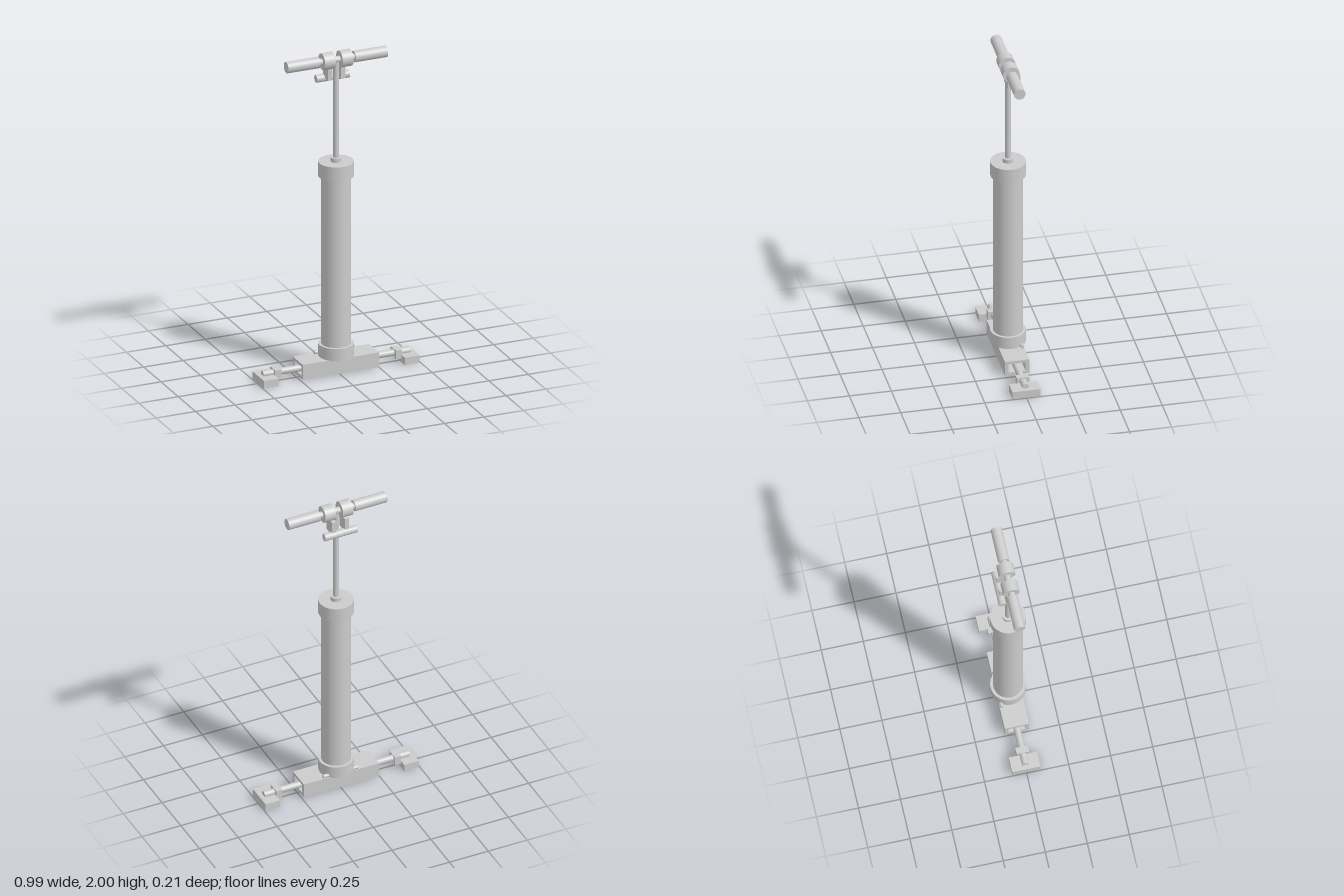
import * as THREE from 'three';

const material = new THREE.MeshStandardMaterial({ color: 0xcccccc });

function add(parent, name, geometry, x, y, z) {
  const mesh = new THREE.Mesh(geometry, material);
  mesh.name = name;
  mesh.position.set(x, y, z);
  parent.add(mesh);
  return mesh;
}

// Upright cylinder between two heights
function upright(parent, name, r, y0, y1) {
  return add(parent, name, new THREE.CylinderGeometry(r, r, y1 - y0, 48), 0, (y0 + y1) / 2, 0);
}

// Cylinder lying along x between x0 and x1
function lying(parent, name, r, x0, x1, y, z = 0) {
  const geometry = new THREE.CylinderGeometry(r, r, x1 - x0, 32).rotateZ(Math.PI / 2);
  return add(parent, name, geometry, (x0 + x1) / 2, y, z);
}

function box(parent, name, x0, x1, y0, y1, z0, z1) {
  const geometry = new THREE.BoxGeometry(x1 - x0, y1 - y0, z1 - z0);
  return add(parent, name, geometry, (x0 + x1) / 2, (y0 + y1) / 2, (z0 + z1) / 2);
}

function outline(points, Type = THREE.Shape) {
  return new Type(points.map(([a, b]) => new THREE.Vector2(a, b)));
}

// Section in (z, y) swept along x
function sweep(parent, name, shape, x0, x1) {
  const geometry = new THREE.ExtrudeGeometry(shape, { depth: x1 - x0, bevelEnabled: false });
  geometry.rotateY(Math.PI / 2);
  return add(parent, name, geometry, x0, 0, 0);
}

export function createModel() {
  const pump = new THREE.Group();
  pump.name = 'floorPump';

  // Barrel with its caps, and the piston rod
  upright(pump, 'barrel', 0.087, 0.12, 1.3);
  upright(pump, 'lowerCap', 0.104, 0.1, 0.177);
  upright(pump, 'upperCap', 0.104, 1.225, 1.315);
  upright(pump, 'rodBushing', 0.033, 1.31, 1.34);
  upright(pump, 'pistonRod', 0.017, 1.3, 1.95);

  // Hollow base housing
  const housing = outline([[-0.0725, 0.01], [0.0725, 0.01], [0.0725, 0.102], [-0.0725, 0.102]]);
  housing.holes.push(outline([[-0.05, 0.028], [-0.05, 0.084], [0.05, 0.084], [0.05, 0.028]], THREE.Path));
  sweep(pump, 'baseHousing', housing, -0.242, 0.242);

  // Hinge pin behind the lower cap
  lying(pump, 'basePin', 0.011, -0.112, 0.112, 0.111, -0.06);

  // Bar sliding through the base, carrying the feet
  lying(pump, 'footBar', 0.02, -0.467, 0.467, 0.055);

  // Handle axle and the small carrying bar hung behind it
  lying(pump, 'handleAxle', 0.02, -0.12, 0.12, 1.95);
  lying(pump, 'carryBar', 0.023, -0.104, 0.104, 1.825, -0.055);

  // Saddle-shaped clamp section, open below
  const clamp = outline([
    [-0.037, 0.024], [-0.021, 0.024], [-0.021, 0.062], [0.021, 0.062],
    [0.021, 0.024], [0.037, 0.024], [0.037, 0.08], [-0.037, 0.08],
  ]);

  for (const side of [1, -1]) {
    const span = (a, b) => (side > 0 ? [a, b] : [-b, -a]);
    const tag = side > 0 ? 'left' : 'right';

    // Foot and clamp
    box(pump, tag + 'Foot', ...span(0.4, 0.494), 0, 0.047, -0.084, 0.084);
    sweep(pump, tag + 'FootClamp', clamp, ...span(0.363, 0.402));

    // Grip, collar and bracket
    lying(pump, tag + 'Grip', 0.034, ...span(0.112, 0.316), 1.95);
    lying(pump, tag + 'Collar', 0.05, ...span(0.022, 0.09), 1.95);
    box(pump, tag + 'Bracket', ...span(0.028, 0.055), 1.83, 1.918, -0.063, 0.012);
  }
  return pump;
}
